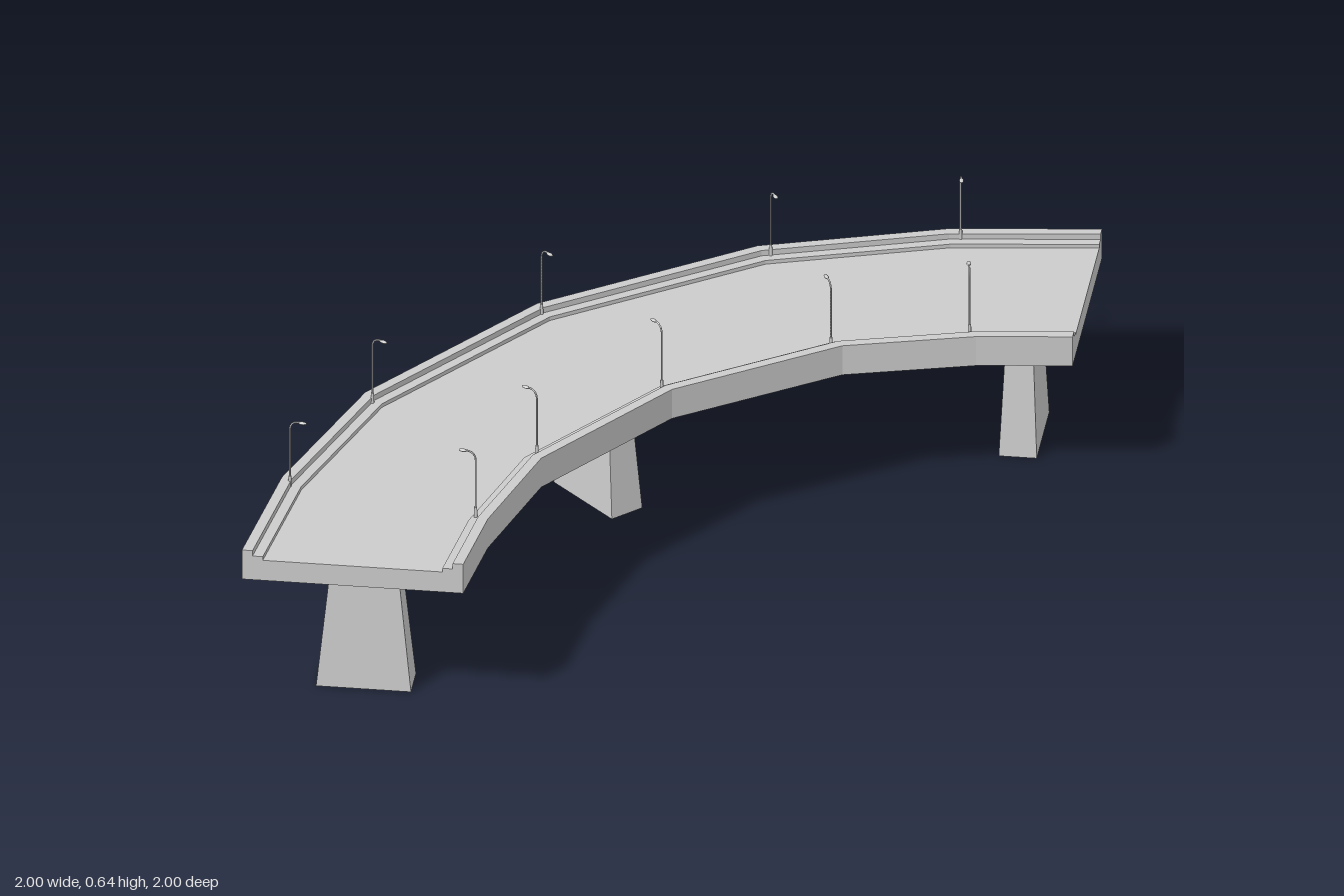
import * as THREE from 'three';

// Plan of the curved deck as [x, z]: outer and inner edge, matching index by index
const OUTER = [[-1, 1], [-0.948, 0.6], [-0.792, 0.12], [-0.41, -0.41], [0.12, -0.792], [0.6, -0.948], [1, -1]];
const INNER = [[-0.417, 1], [-0.385, 0.75], [-0.29, 0.41], [0, 0], [0.41, -0.29], [0.75, -0.385], [1, -0.417]];
const DECK_BOTTOM = 0.37, DECK_TOP = 0.43, KERB_TOP = 0.441, WALL_TOP = 0.457;

const material = new THREE.MeshStandardMaterial({ color: 0xcccccc, flatShading: true });
const smooth = new THREE.MeshStandardMaterial({ color: 0xcccccc });

// Point on cross-section i, "d" in from the outer edge (or, if side is -1, from the inner edge)
function across(i, d, side) {
  const o = new THREE.Vector2(...OUTER[i]), n = new THREE.Vector2(...INNER[i]);
  const dir = n.clone().sub(o).normalize();
  return side > 0 ? o.addScaledVector(dir, d) : n.addScaledVector(dir, -d);
}

// Rectangular section swept along the deck; left and right are [distance, side]
function sweep(name, left, right, y0, y1) {
  const rings = OUTER.map((_, i) => {
    const l = across(i, ...left), r = across(i, ...right);
    return [[l.x, y0, l.y], [r.x, y0, r.y], [r.x, y1, r.y], [l.x, y1, l.y]];
  });
  const pos = [];
  const quad = (a, b, c, d) => pos.push(...a, ...b, ...c, ...a, ...c, ...d);
  for (let i = 0; i < rings.length - 1; i++) {
    for (let j = 0; j < 4; j++) {
      const k = (j + 1) % 4;
      quad(rings[i][j], rings[i + 1][j], rings[i + 1][k], rings[i][k]);
    }
  }
  quad(...rings[0]);
  quad(...[...rings[rings.length - 1]].reverse());
  const geometry = new THREE.BufferGeometry();
  geometry.setAttribute('position', new THREE.Float32BufferAttribute(pos, 3));
  geometry.computeVertexNormals();
  const mesh = new THREE.Mesh(geometry, material);
  mesh.name = name;
  return mesh;
}

// Pier tapering towards the top, long side along local x
function makePier(x, z, turn) {
  const height = 0.39;
  const geometry = new THREE.BoxGeometry(0.25, height, 0.1);
  const p = geometry.attributes.position;
  for (let i = 0; i < p.count; i++) {
    if (p.getY(i) > 0) p.setXYZ(i, p.getX(i) * 0.68, p.getY(i), p.getZ(i) * 0.66);
  }
  geometry.computeVertexNormals();
  const pier = new THREE.Mesh(geometry, material);
  pier.name = 'pier';
  pier.position.set(x, height / 2, z);
  pier.rotation.y = turn;
  return pier;
}

// Street lamp with its arm reaching along local +x
function makeLamp() {
  const lamp = new THREE.Group();
  lamp.name = 'streetLamp';
  const base = new THREE.Mesh(new THREE.CylinderGeometry(0.004, 0.005, 0.03, 8), smooth);
  base.name = 'lampBase';
  base.position.y = 0.015;
  const path = new THREE.CurvePath();
  const v = (x, y) => new THREE.Vector3(x, y, 0);
  path.add(new THREE.LineCurve3(v(0, 0), v(0, 0.172)));
  path.add(new THREE.QuadraticBezierCurve3(v(0, 0.172), v(0.002, 0.192), v(0.022, 0.194)));
  path.add(new THREE.LineCurve3(v(0.022, 0.194), v(0.03, 0.194)));
  const pole = new THREE.Mesh(new THREE.TubeGeometry(path, 24, 0.0025, 6), smooth);
  pole.name = 'lampPole';
  const head = new THREE.Mesh(new THREE.SphereGeometry(1, 10, 6), smooth);
  head.name = 'lampHead';
  head.scale.set(0.012, 0.004, 0.006);
  head.position.set(0.035, 0.193, 0);
  lamp.add(base, pole, head);
  return lamp;
}

export function createModel() {
  const model = new THREE.Group();
  model.name = 'curvedBridge';

  // Roadway with a stepped barrier along each edge
  model.add(sweep('deck', [0, 1], [0, -1], DECK_BOTTOM, DECK_TOP));
  model.add(sweep('outerWall', [0, 1], [0.028, 1], DECK_TOP, WALL_TOP));
  model.add(sweep('outerKerb', [0.028, 1], [0.055, 1], DECK_TOP, KERB_TOP));
  model.add(sweep('innerWall', [0.028, -1], [0, -1], DECK_TOP, WALL_TOP));
  model.add(sweep('innerKerb', [0.055, -1], [0.028, -1], DECK_TOP, KERB_TOP));

  // Piers under both ends and the middle of the bend
  model.add(makePier(-0.695, 0.835, 0));
  model.add(makePier(-0.225, -0.225, -Math.PI / 4));
  model.add(makePier(0.835, -0.695, Math.PI / 2));

  // Lamps at every bend of both edges, arms over the road
  const outerLamps = [[-0.925, 0.615], [-0.77, 0.145], [-0.395, -0.385], [0.157, -0.775], [0.637, -0.928]];
  const innerLamps = [[-0.422, 0.715], [-0.307, 0.368], [-0.03, -0.022], [0.378, -0.307], [0.728, -0.422]];
  for (const [spots, side] of [[outerLamps, 1], [innerLamps, -1]]) {
    spots.forEach(([x, z], n) => {
      const lamp = makeLamp();
      const angle = THREE.MathUtils.degToRad(11 + n * 17);
      lamp.position.set(x, KERB_TOP, z);
      lamp.rotation.y = -Math.atan2(side * Math.sin(angle), side * Math.cos(angle));
      model.add(lamp);
    });
  }
  return model;
}
